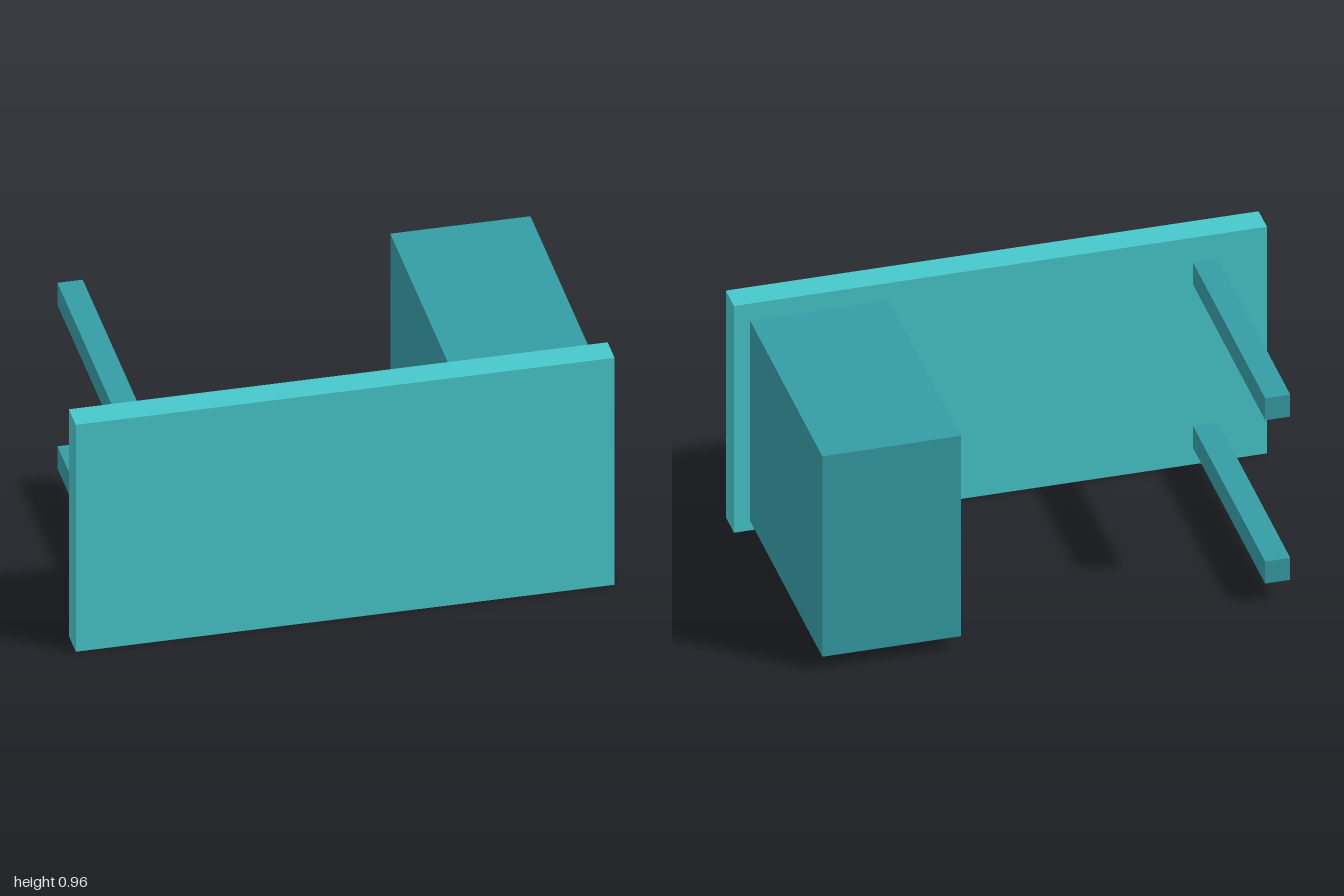
import * as THREE from 'three';

export function createModel() {
  const model = new THREE.Group();
  model.name = 'desk';

  const lightTeal = new THREE.MeshStandardMaterial({ name: 'light teal', color: 0x47c7cb });
  const darkTeal = new THREE.MeshStandardMaterial({ name: 'dark teal', color: 0x359da4 });

  // Box given by its two extreme corners
  function addBox(name, material, [x0, y0, z0], [x1, y1, z1]) {
    const mesh = new THREE.Mesh(new THREE.BoxGeometry(x1 - x0, y1 - y0, z1 - z0), material);
    mesh.position.set((x0 + x1) / 2, (y0 + y1) / 2, (z0 + z1) / 2);
    mesh.name = name;
    model.add(mesh);
  }

  const height = 0.965;
  const back = -0.55, front = 0.413;

  // Desk top, standing on its long edge and facing forward
  addBox('deskTop', lightTeal, [-1, 0, 0.44], [1, height, 0.55]);

  // Drawer cabinet behind one end, with a small gap to the top
  addBox('drawerCabinet', darkTeal, [0.427, 0.057, back], [0.947, 0.91, front]);

  // Two square legs behind the other end, mirrored about mid height
  const legSize = 0.094, legMargin = 0.088;
  for (const [name, y] of [['lowerLeg', legMargin], ['upperLeg', height - legMargin - legSize]]) {
    addBox(name, darkTeal, [-0.809, y, back], [-0.715, y + legSize, front]);
  }

  return model;
}
